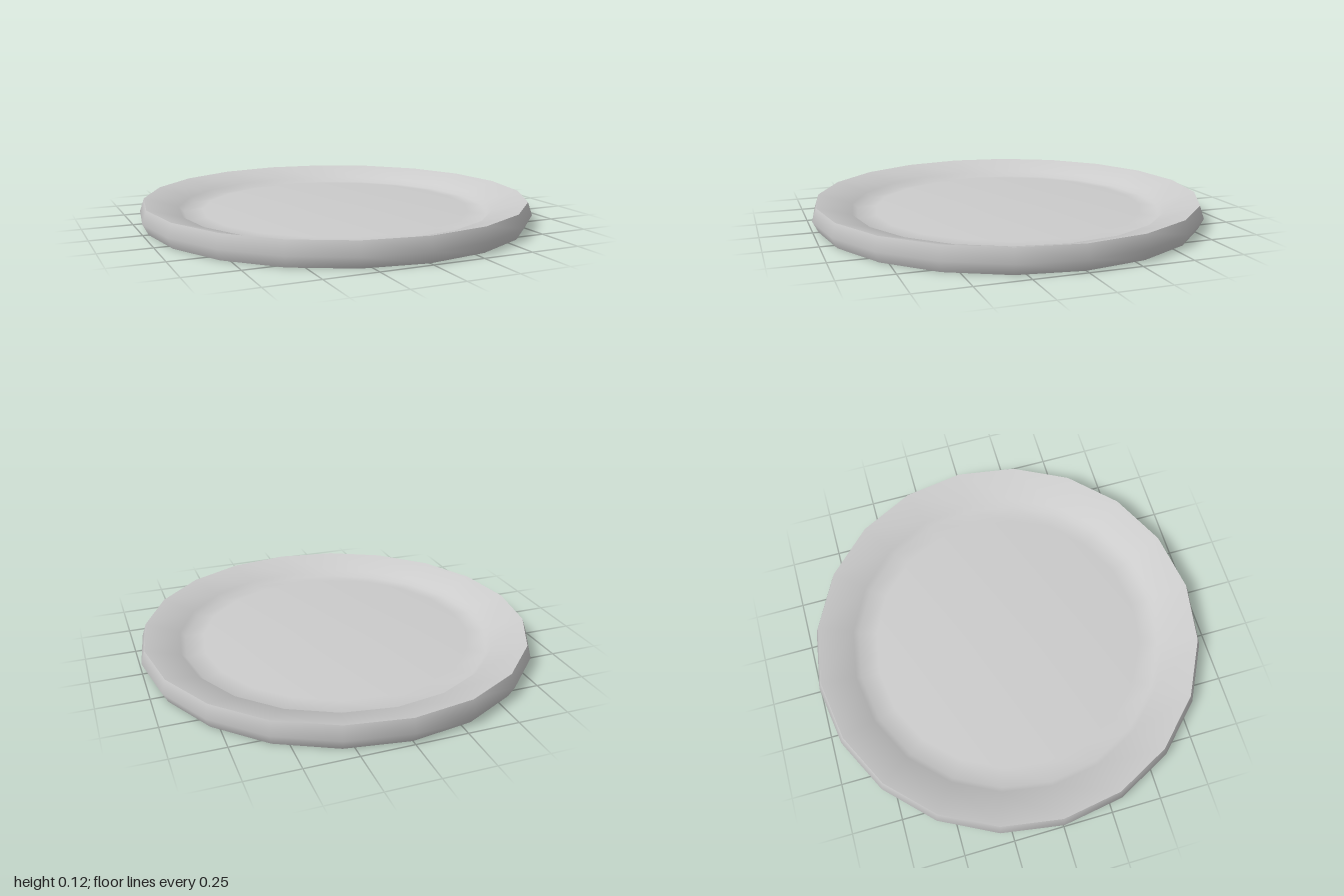
import * as THREE from 'three';
import { toCreasedNormals } from 'three/addons/utils/BufferGeometryUtils.js';

const SIDES = 20;

export function createModel() {
  const group = new THREE.Group();
  group.name = 'plate';

  // Half section, from the centre of the underside round to the centre of the well
  const profile = [
    [0, 0], [0.972, 0],          // flat underside
    [1, 0.055], [0.978, 0.12],   // bulging outer edge
    [0.805, 0.072],              // sloping rim
    [0.78, 0.049],               // step into the groove
    [0.685, 0.059], [0, 0.059],  // raised flat well
  ].map(([r, y]) => new THREE.Vector2(r, y));

  const geometry = toCreasedNormals(new THREE.LatheGeometry(profile, SIDES), 0.9);
  const dish = new THREE.Mesh(geometry, new THREE.MeshStandardMaterial({ color: 0xcccccc }));
  dish.name = 'dish';
  group.add(dish);

  return group;
}
